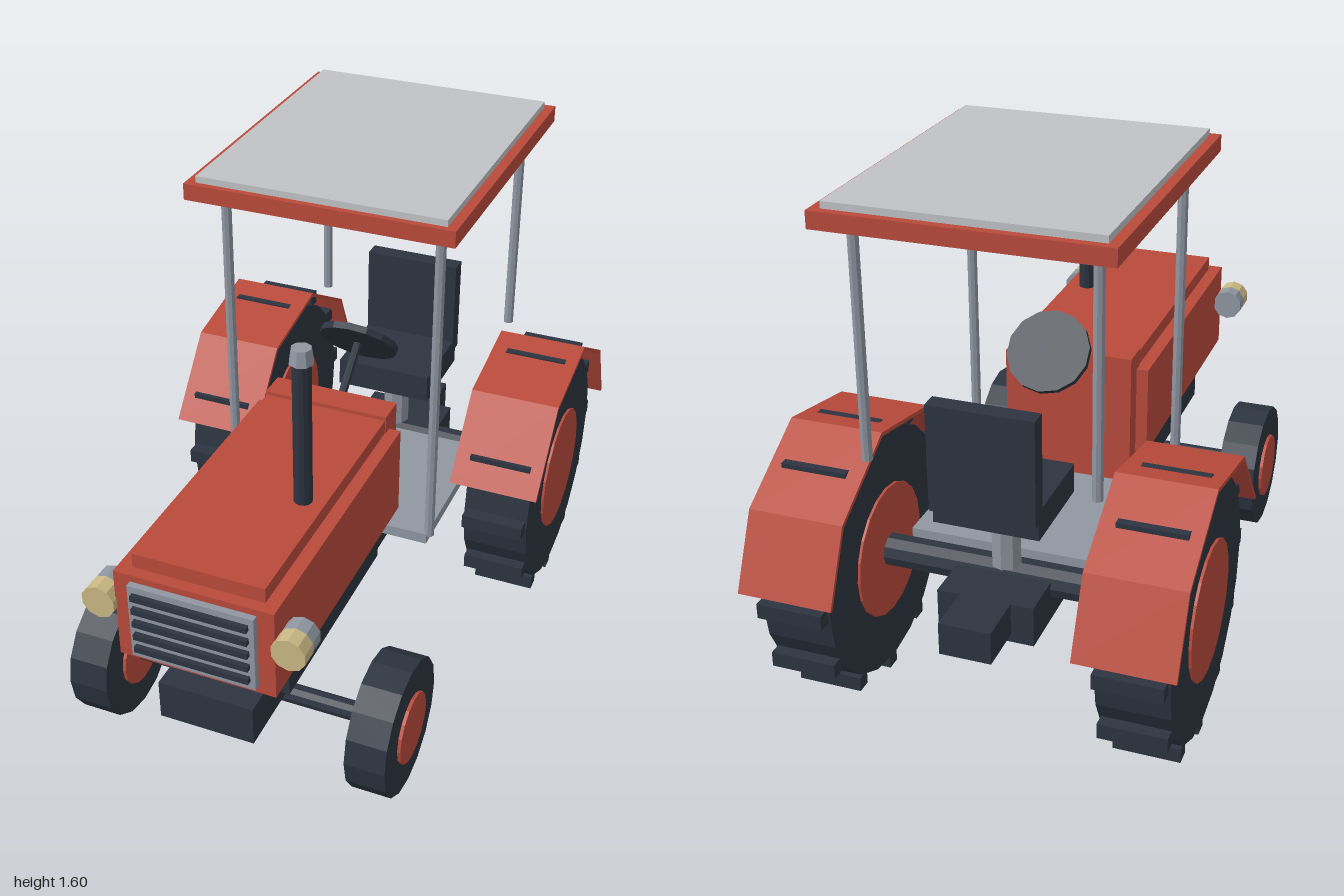
import * as THREE from 'three';

const paint = (name, color) => new THREE.MeshStandardMaterial({ name, color, flatShading: true });

export function createModel() {
  const red = paint('red paint', 0xb94a3b);
  const dark = paint('dark rubber and iron', 0x2c3440);
  const steel = paint('steel', 0x9097a2);
  const pale = paint('pale roof panel', 0xc0c2c5);
  const lamp = paint('lamp glass', 0xcbb884);
  const tractor = new THREE.Group();
  tractor.name = 'tractor';

  const add = (name, geometry, material, x = 0, y = 0, z = 0, parent = tractor) => {
    const mesh = new THREE.Mesh(geometry, material);
    mesh.name = name;
    mesh.position.set(x, y, z);
    parent.add(mesh);
    return mesh;
  };
  // Box given by its limits on each axis
  const box = (name, material, x0, x1, y0, y1, z0, z1) =>
    add(name, new THREE.BoxGeometry(x1 - x0, y1 - y0, z1 - z0), material,
      (x0 + x1) / 2, (y0 + y1) / 2, (z0 + z1) / 2);
  // Cylinder lying along x
  const axleGeo = (r, length, sides) => new THREE.CylinderGeometry(r, r, length, sides).rotateZ(Math.PI / 2);

  // Chassis and engine
  box('chassis', dark, -0.145, 0.145, 0.315, 0.44, -0.74, 0.93);
  box('hitch', dark, -0.077, 0.077, 0.34, 0.44, -0.89, -0.7);
  box('engineBlock', dark, -0.195, 0.195, 0.4, 0.56, 0.11, 0.795);
  box('hood', red, -0.235, 0.235, 0.55, 0.835, 0.04, 0.965);
  box('hoodTop', red, -0.195, 0.195, 0.83, 0.88, 0.06, 0.93);
  box('cowl', red, -0.198, 0.198, 0.47, 0.892, -0.02, 0.07);
  box('floor', steel, -0.33, 0.33, 0.435, 0.47, -0.5, 0.04);

  // Grille
  box('grille', steel, -0.185, 0.185, 0.575, 0.815, 0.96, 0.985);
  for (let i = 0; i < 5; i++) {
    const y = 0.61 + i * 0.044;
    box('grilleSlat', dark, -0.17, 0.17, y - 0.009, y + 0.009, 0.98, 1.0);
  }

  // Exhaust
  add('exhaustPipe', new THREE.CylinderGeometry(0.027, 0.027, 0.46, 12), dark, 0.13, 1.1, 0.535);
  add('exhaustCap', new THREE.CylinderGeometry(0.029, 0.036, 0.045, 8), steel, 0.13, 1.348, 0.535);

  // Steering: disc square to its column
  const tilt = new THREE.Vector3(0, 0.66, -0.75).normalize();
  const steering = add('steeringWheel', new THREE.CylinderGeometry(0.127, 0.127, 0.022, 14), dark, 0, 0.97, -0.205);
  steering.quaternion.setFromUnitVectors(new THREE.Vector3(0, 1, 0), tilt);
  add('steeringColumn', new THREE.CylinderGeometry(0.014, 0.014, 0.3, 8).translate(0, -0.15, 0), dark,
    0, 0.97, -0.205).quaternion.copy(steering.quaternion);

  // Seat
  add('seatPost', new THREE.CylinderGeometry(0.045, 0.045, 0.2, 8), steel, 0, 0.56, -0.57);
  box('seatCushion', dark, -0.157, 0.157, 0.65, 0.74, -0.72, -0.43);
  box('seatBack', dark, -0.157, 0.157, 0.7, 1.025, -0.745, -0.69);

  // Roof: hollow rim under a plate, with a pale panel on top
  box('roofPlate', red, -0.41, 0.41, 1.555, 1.575, -0.85, 0.135);
  box('roofRimFront', red, -0.41, 0.41, 1.525, 1.557, 0.115, 0.135);
  box('roofRimBack', red, -0.41, 0.41, 1.525, 1.557, -0.85, -0.83);
  box('roofPanel', pale, -0.38, 0.38, 1.57, 1.595, -0.825, 0.115);

  // Axles
  add('frontAxle', axleGeo(0.03, 0.8, 10), dark, 0, 0.245, 0.635);
  add('rearAxle', axleGeo(0.05, 0.85, 10), dark, 0, 0.42, -0.555);

  // Fender section, drawn with z to the right
  const outer = [[-0.135, 0.56], [-0.33, 0.797], [-0.635, 0.855], [-0.9, 0.7], [-1.0, 0.485]];
  const inner = outer.map(([z, y]) => [-0.555 + (z + 0.555) * 0.975, 0.42 + (y - 0.42) * 0.97]);
  const section = new THREE.Shape([...outer, ...inner.reverse()].map(([z, y]) => new THREE.Vector2(z, y)));
  const fenderGeo = new THREE.ExtrudeGeometry(section, { depth: 0.285, bevelEnabled: false })
    .translate(0, 0, -0.1425).rotateY(-Math.PI / 2);

  for (const side of [-1, 1]) {
    // Headlights
    const ring = (r, h) => new THREE.CylinderGeometry(r, r, h, 10).rotateX(Math.PI / 2);
    add('headlightHousing', ring(0.05, 0.05), steel, side * 0.28, 0.727, 0.905);
    add('headlightLens', ring(0.051, 0.053), lamp, side * 0.28, 0.727, 0.957);

    // Roof sides and pillars
    box('roofRimSide', red, side * 0.4 - 0.01, side * 0.4 + 0.01, 1.525, 1.557, -0.83, 0.115);
    const pillar = (name, y0, z) => add(name, new THREE.CylinderGeometry(0.016, 0.016, 1.556 - y0, 8), steel,
      side * 0.333, (y0 + 1.556) / 2, z);
    pillar('frontPillar', 0.46, 0.02);
    pillar('rearPillar', 0.83, -0.75);

    add('fender', fenderGeo, red, side * 0.4855, 0, 0);

    // Front wheel
    const front = new THREE.Group();
    front.name = 'frontWheel';
    front.position.set(side * 0.44, 0.245, 0.635);
    add('frontTyre', axleGeo(0.208, 0.122, 16), dark, 0, 0, 0, front);
    add('frontRim', axleGeo(0.108, 0.142, 16), red, 0, 0, 0, front);

    // Rear wheel with tread lugs
    const rear = new THREE.Group();
    rear.name = 'rearWheel';
    rear.position.set(side * 0.49, 0.42, -0.555);
    add('rearTyre', axleGeo(0.378, 0.21, 20), dark, 0, 0, 0, rear);
    add('rearRim', axleGeo(0.205, 0.226, 20), red, 0, 0, 0, rear);
    const lug = new THREE.BoxGeometry(0.198, 0.046, 0.046);
    for (let i = 0; i < 12; i++) {
      const a = i * Math.PI / 6;
      add('treadLug', lug, dark, 0, 0.397 * Math.cos(a), 0.397 * Math.sin(a), rear);
    }
    tractor.add(front, rear);
  }
  return tractor;
}
